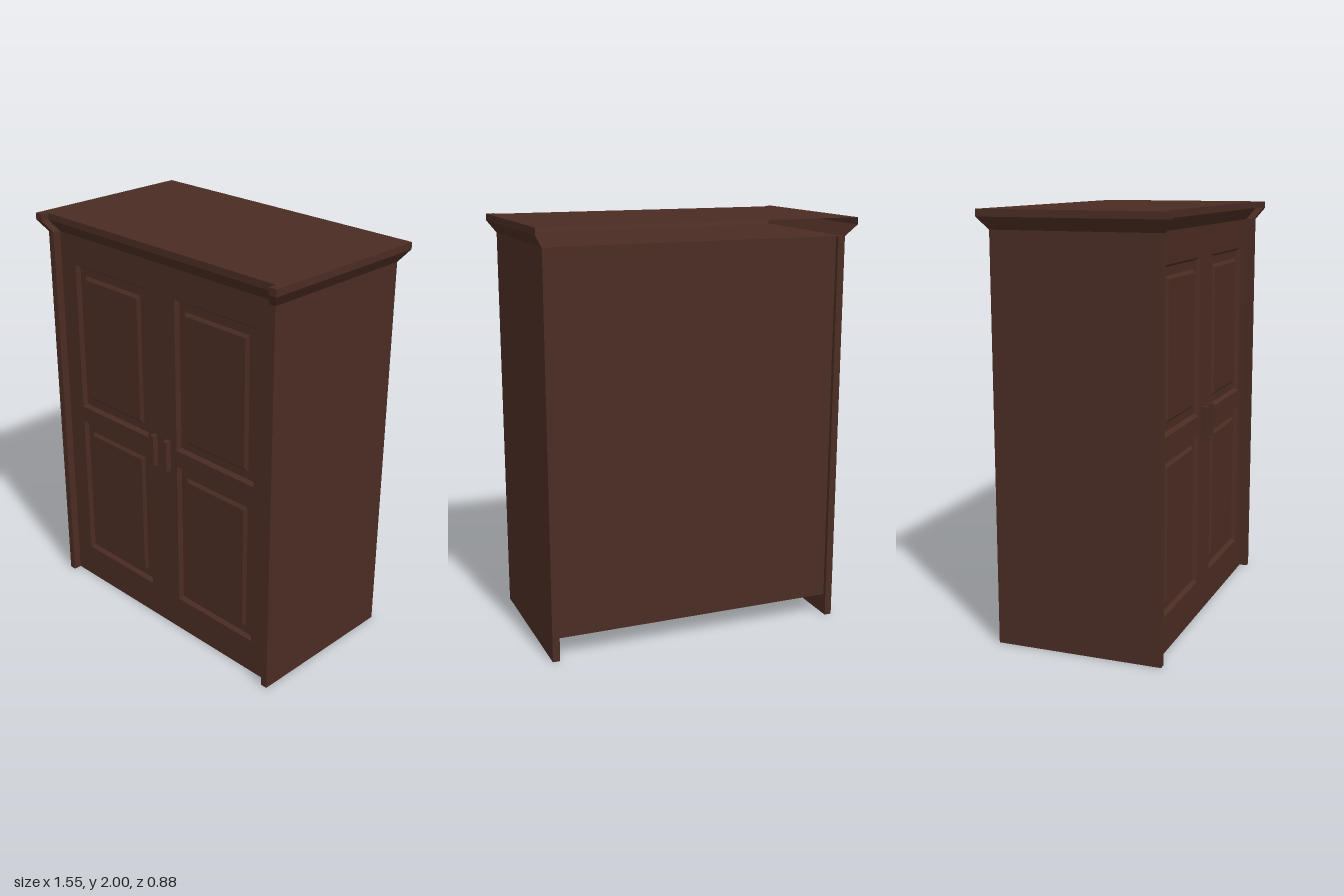
import * as THREE from 'three';

const wood = new THREE.MeshStandardMaterial({ color: 0x4a2c23, side: THREE.DoubleSide });
wood.name = 'dark wood';

// Skin rows of matching points with flat quads
function loft(rows, closed) {
  const pos = [];
  for (let r = 0; r + 1 < rows.length; r++) {
    const n = rows[r].length;
    for (let i = 0; i < (closed ? n : n - 1); i++) {
      const j = (i + 1) % n;
      const a = rows[r][i], b = rows[r][j], c = rows[r + 1][j], d = rows[r + 1][i];
      pos.push(...a, ...b, ...c, ...a, ...c, ...d);
    }
  }
  const g = new THREE.BufferGeometry();
  g.setAttribute('position', new THREE.Float32BufferAttribute(pos, 3));
  g.computeVertexNormals();
  return g;
}

// Rectangle corners, counter-clockwise, shrunk by inset
const rect = (x0, x1, y0, y1, inset = 0) => [
  [x0 + inset, y0 + inset], [x1 - inset, y0 + inset],
  [x1 - inset, y1 - inset], [x0 + inset, y1 - inset],
];
const toPoints = (list) => list.map(([x, y]) => new THREE.Vector2(x, y));

export function createModel() {
  const group = new THREE.Group();
  const add = (name, geometry, x = 0, y = 0, z = 0) => {
    const mesh = new THREE.Mesh(geometry, wood);
    mesh.name = name;
    mesh.position.set(x, y, z);
    group.add(mesh);
    return mesh;
  };

  const W = 0.735, IN = 0.70, D = 0.40, FRONT = 0.36, BACK = -0.38;
  const FLOOR = 0.105, BODY = 1.91;

  // Side panels, reaching the floor and standing proud of the doors
  for (const s of [-1, 1]) {
    add(s > 0 ? 'leftSide' : 'rightSide', new THREE.BoxGeometry(W - IN, BODY, 2 * D), s * (W + IN) / 2, BODY / 2, 0);
  }

  // Back, floor, inner ceiling and plinth
  add('back', new THREE.PlaneGeometry(2 * IN, BODY - FLOOR).rotateY(Math.PI), 0, (BODY + FLOOR) / 2, BACK);
  const deck = () => new THREE.PlaneGeometry(2 * IN, FRONT - BACK).rotateX(-Math.PI / 2);
  add('floorPanel', deck(), 0, FLOOR, (FRONT + BACK) / 2);
  add('ceilingPanel', deck(), 0, BODY, (FRONT + BACK) / 2);
  add('plinth', new THREE.BoxGeometry(2 * IN, FLOOR, 0.02), 0, FLOOR / 2, FRONT - 0.01);

  // Door front with four panel openings
  const front = new THREE.Shape(toPoints(rect(-IN, IN, FLOOR, BODY)));
  const panels = [];
  for (const [x0, x1] of [[-0.595, -0.098], [0.098, 0.595]]) {
    for (const [y0, y1] of [[0.175, 0.93], [1.012, 1.767]]) panels.push([x0, x1, y0, y1]);
  }
  for (const p of panels) front.holes.push(new THREE.Path(toPoints(rect(...p).reverse())));
  add('doorFrames', new THREE.ShapeGeometry(front), 0, 0, FRONT);

  // Recessed mouldings around raised centre fields: [inset, depth]
  const steps = [[0, 0], [0.013, -0.02], [0.052, -0.02], [0.066, -0.006]];
  for (const p of panels) {
    const rows = steps.map(([inset, dz]) => rect(...p, inset).map(([x, y]) => [x, y, FRONT + dz]));
    add('panelMoulding', loft(rows, true));
    const [inset, dz] = steps[steps.length - 1];
    add('panelField', new THREE.ShapeGeometry(new THREE.Shape(toPoints(rect(...p, inset)))), 0, 0, FRONT + dz);
  }

  // Door handles
  for (const s of [-1, 1]) {
    add('handle', new THREE.BoxGeometry(0.022, 0.16, 0.03), s * 0.045, 0.97, FRONT + 0.015);
  }

  // Flared cornice, open at the back: outline runs from right to left around the front
  const outline = (x, xi, zb, z, zi) => [
    [-x, zb], [-x, z], [-xi, z], [-xi, zi], [xi, zi], [xi, z], [x, z], [x, zb],
  ];
  const low = outline(W, IN, -D, D, FRONT);
  const high = outline(0.775, 0.735, -0.445, 0.44, 0.40);
  const at = (list, y) => list.map(([x, z]) => [x, y, z]);
  add('cornice', loft([at(low, BODY), at(high, 1.967), at(high, 2)], false));
  const top = new THREE.Shape(toPoints(high.map(([x, z]) => [x, -z])));
  add('top', new THREE.ShapeGeometry(top).rotateX(-Math.PI / 2), 0, 2, 0);

  return group;
}
